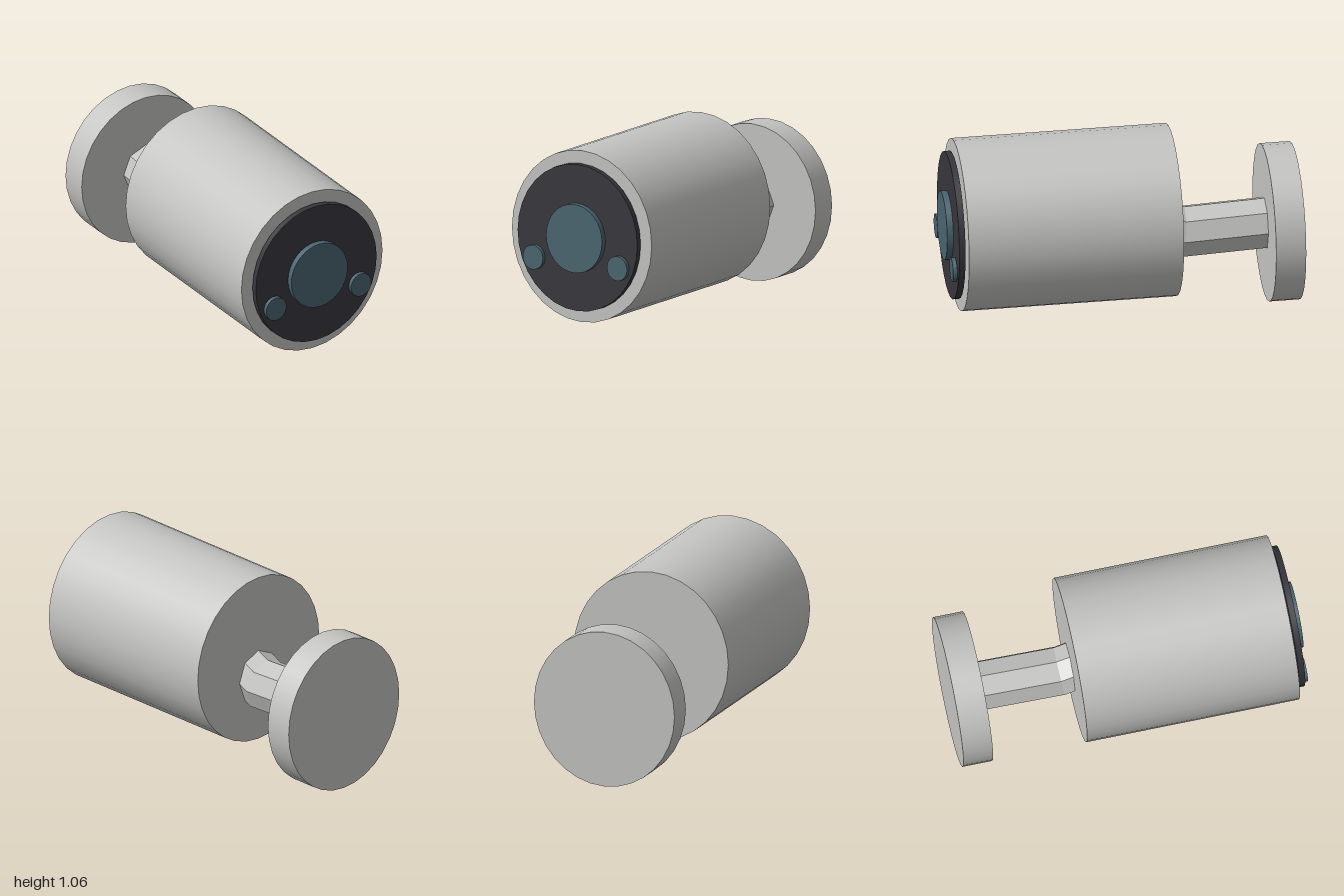
import * as THREE from 'three';

const material = (name, color, extra = {}) => {
  const m = new THREE.MeshStandardMaterial({ color, ...extra });
  m.name = name;
  return m;
};

// Elliptical disc or drum lying along z, from z0 to z1
function drum(name, mat, x, y, rx, ry, z0, z1) {
  const g = new THREE.CylinderGeometry(1, 1, 1, 32);
  g.rotateX(Math.PI / 2);
  g.scale(rx, ry, z1 - z0);
  g.translate(x, y, (z0 + z1) / 2);
  const mesh = new THREE.Mesh(g, mat);
  mesh.name = name;
  return mesh;
}

// Eight-sided bent arm; each ring is [centre y, centre z, z shift at the top]
function armGeometry(rings, rx, ry, sides = 8) {
  const pos = [], index = [];
  rings.forEach(([y, z, lean], i) => {
    for (let j = 0; j < sides; j++) {
      const a = (j / sides) * Math.PI * 2;
      pos.push(rx * Math.cos(a), y + ry * Math.sin(a), z + lean * Math.sin(a));
      if (i < rings.length - 1) {
        const p = i * sides + j, q = i * sides + (j + 1) % sides;
        index.push(p, q, q + sides, p, q + sides, p + sides);
      }
    }
  });
  const g = new THREE.BufferGeometry();
  g.setAttribute('position', new THREE.Float32BufferAttribute(pos, 3));
  g.setIndex(index);
  const flat = g.toNonIndexed();
  flat.computeVertexNormals();
  return flat;
}

export function createModel() {
  const shell = material('light grey shell', 0xc4c5c2);
  const dark = material('dark face', 0x38363d);
  const glass = material('blue grey glass', 0x4a6570);

  const model = new THREE.Group();
  model.name = 'wallCamera';

  // Housing and wall plate
  model.add(drum('housing', shell, 0, 0.572, 0.467, 0.492, -0.3, 0.92));
  model.add(drum('wallPlate', shell, 0, 0.45, 0.425, 0.45, -1, -0.83));

  // Bent arm between them, its ends sunk into both
  const arm = new THREE.Mesh(
    armGeometry([[0.451, -0.88, 0], [0.43, -0.358, -0.018], [0.504, -0.2, -0.018]], 0.146, 0.153),
    shell
  );
  arm.name = 'arm';
  model.add(arm);

  // Face plate, main lens and the two small sensors
  model.add(drum('facePlate', dark, 0, 0.572, 0.4, 0.421, 0.93, 0.965));
  model.add(drum('lens', glass, 0, 0.573, 0.187, 0.197, 0.965, 1));
  for (const side of [1, -1]) {
    const name = side > 0 ? 'leftSensor' : 'rightSensor';
    model.add(drum(name, glass, side * 0.281, 0.432, 0.067, 0.07, 0.968, 0.992));
  }
  return model;
}
